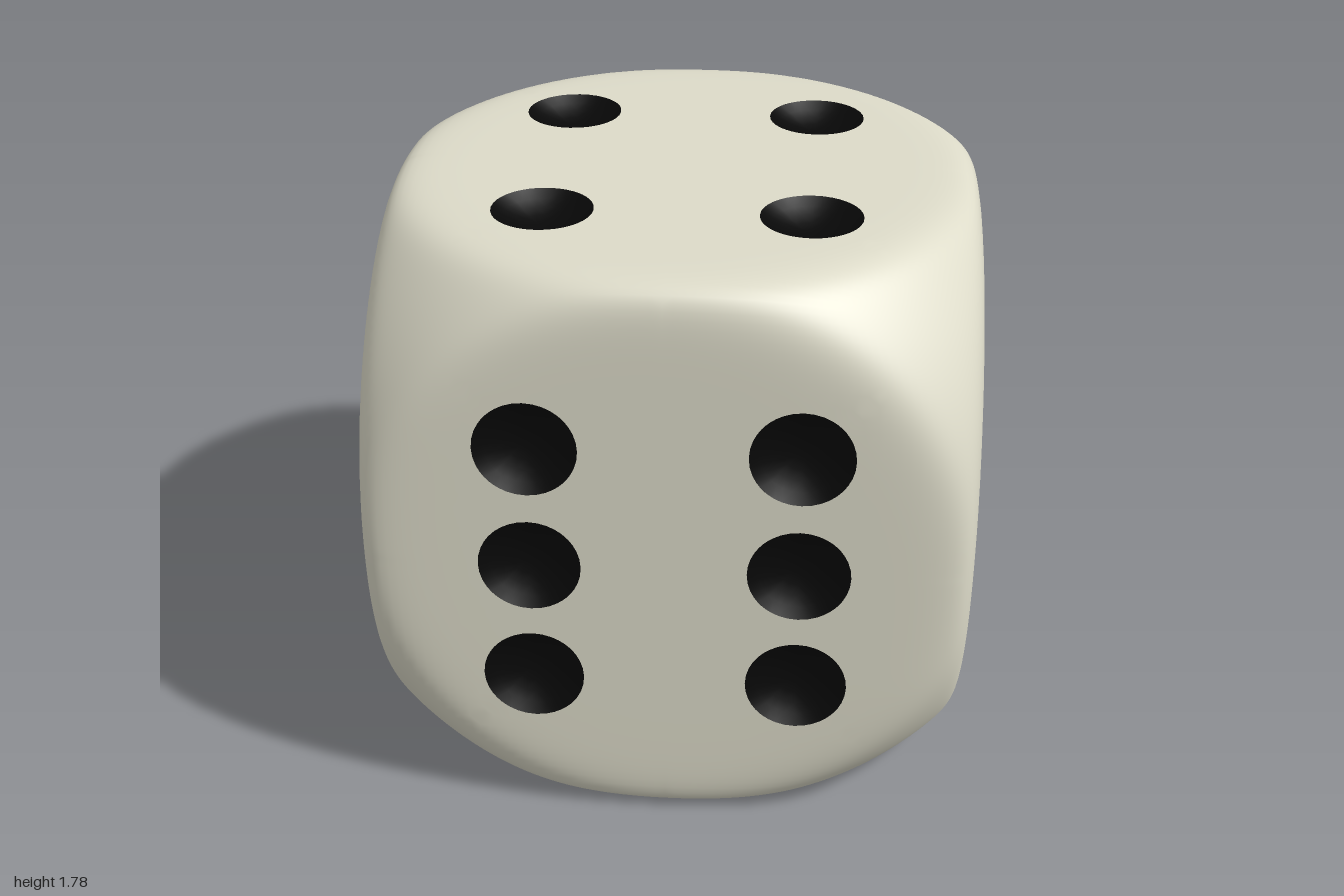
import * as THREE from 'three';
import { mergeVertices } from 'three/addons/utils/BufferGeometryUtils.js';

const HALF = 0.892;      // half the width of the cube
const BALL = 1.24;       // sphere that trims the corners
const POWER = 40;        // higher = crisper blend of cube and sphere
const CELL = 0.03;       // grid step on a face
const N = 30;            // cells from face centre to edge
const PIP = 5;           // pip radius in cells
const STEP = 13;         // pip spacing in cells
const DEPTH = 0.055;     // pip depth

const V = (x, y, z) => new THREE.Vector3(x, y, z);

// Each face: outward normal, up direction, and pips as [column, row]
const FACES = [
  { n: V(0, 0, 1), up: V(0, 1, 0), pips: [[-1, -1], [-1, 0], [-1, 1], [1, -1], [1, 0], [1, 1]] },
  { n: V(1, 0, 0), up: V(0, 1, 0), pips: [[1, 1], [-1, -1]] },
  { n: V(0, 1, 0), up: V(0, 0, -1), pips: [[-1, -1], [-1, 1], [1, -1], [1, 1]] },
  { n: V(0, 0, -1), up: V(0, 1, 0), pips: [[0, 0]] },
  { n: V(-1, 0, 0), up: V(0, 1, 0), pips: [[-1, -1], [-1, 1], [0, 0], [1, -1], [1, 1]] },
  { n: V(0, -1, 0), up: V(0, 0, 1), pips: [[-1, -1], [0, 0], [1, 1]] },
];

// Push a direction out to the smooth intersection of cube and sphere
function onSurface(p) {
  p.normalize();
  const sum = [p.x / HALF, p.y / HALF, p.z / HALF, 1 / BALL]
    .reduce((s, t) => s + Math.abs(t) ** POWER, 0);
  return p.multiplyScalar(sum ** (-1 / POWER));
}

// Grid point of a face; squares of cells around each pip are warped into discs
function facePoint(face, right, i, j) {
  let u = i, v = j, sink = 0;
  for (const [c, r] of face.pips) {
    const x = i - c * STEP, y = j - r * STEP;
    const m = Math.max(Math.abs(x), Math.abs(y));
    if (m === 0) sink = DEPTH;
    if (m === 0 || m > PIP + 1) continue;
    const blend = m <= PIP ? 1 : 0.45;
    const k = 1 + blend * (m / Math.hypot(x, y) - 1);
    u = c * STEP + x * k;
    v = r * STEP + y * k;
    if (m < PIP) sink = DEPTH * (1 - (m / PIP) ** 2);
  }
  const p = face.n.clone().multiplyScalar(N * CELL)
    .addScaledVector(right, u * CELL).addScaledVector(face.up, v * CELL);
  return onSurface(p).addScaledVector(face.n, -sink);
}

function smoothGeometry(positions) {
  const g = new THREE.BufferGeometry();
  g.setAttribute('position', new THREE.Float32BufferAttribute(positions, 3));
  const merged = mergeVertices(g, 1e-4);
  merged.computeVertexNormals();
  return merged;
}

export function createModel() {
  const bodyPos = [], pipPos = [];

  for (const face of FACES) {
    const right = face.up.clone().cross(face.n);
    const grid = [];
    for (let j = -N; j <= N; j++) {
      const row = [];
      for (let i = -N; i <= N; i++) row.push(facePoint(face, right, i, j));
      grid.push(row);
    }
    for (let j = 0; j < 2 * N; j++) {
      for (let i = 0; i < 2 * N; i++) {
        const ci = i + 0.5 - N, cj = j + 0.5 - N;
        const inPip = face.pips.some(([c, r]) =>
          Math.abs(ci - c * STEP) < PIP && Math.abs(cj - r * STEP) < PIP);
        const a = grid[j][i], b = grid[j][i + 1];
        const c = grid[j + 1][i + 1], d = grid[j + 1][i];
        // split along the shorter diagonal
        const tris = a.distanceTo(c) <= b.distanceTo(d) ? [a, b, c, a, c, d] : [a, b, d, b, c, d];
        for (const p of tris) (inPip ? pipPos : bodyPos).push(p.x, p.y, p.z);
      }
    }
  }

  const body = new THREE.Mesh(smoothGeometry(bodyPos),
    new THREE.MeshStandardMaterial({ color: 0xdddbc9 }));
  body.name = 'body';
  const pips = new THREE.Mesh(smoothGeometry(pipPos),
    new THREE.MeshStandardMaterial({ color: 0x080808 }));
  pips.name = 'pips';

  // The die sits slightly turned
  const die = new THREE.Group();
  die.name = 'die';
  die.add(body, pips);
  die.rotation.y = -0.139;
  die.position.y = 0.895;

  const model = new THREE.Group();
  model.add(die);
  return model;
}
